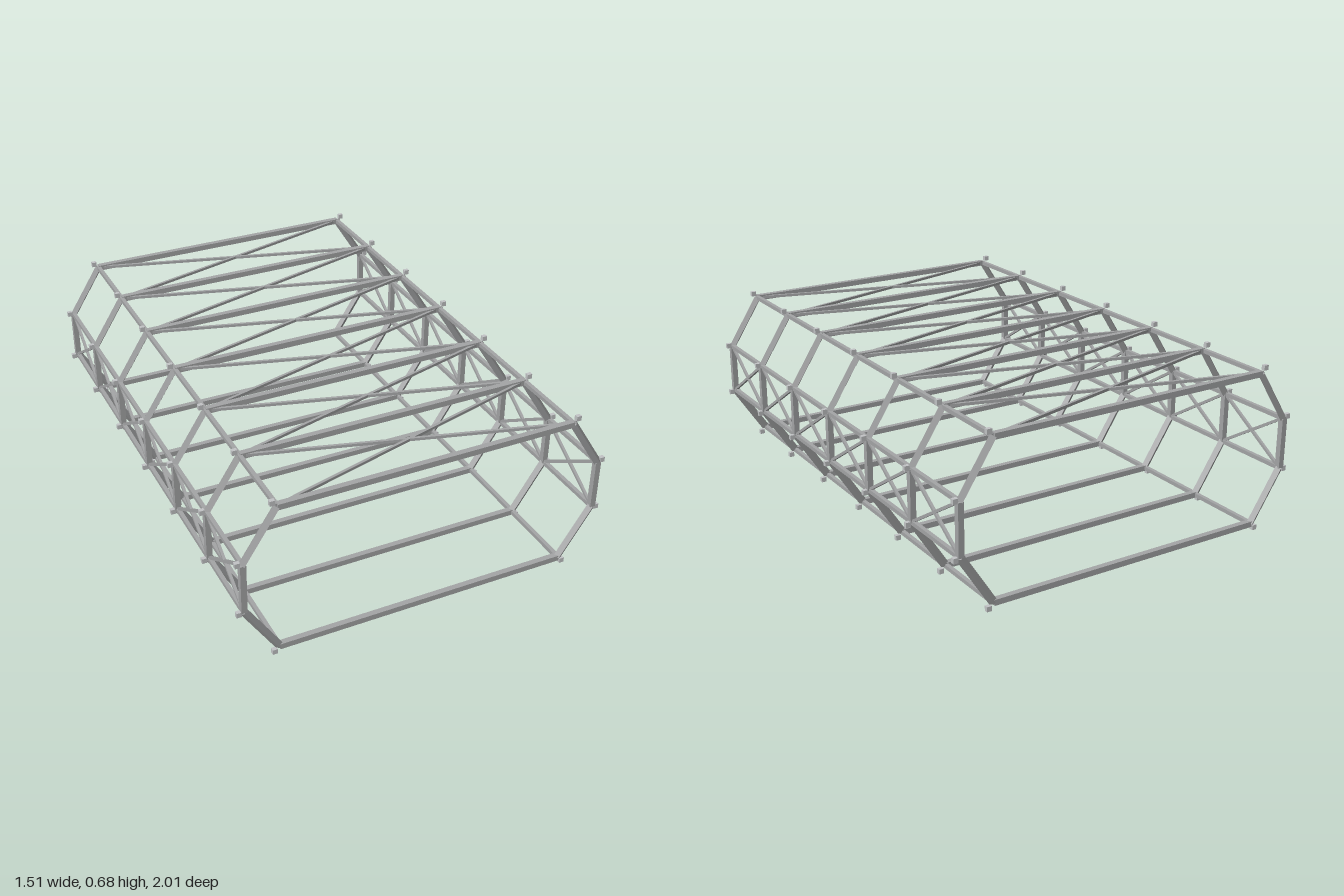
import * as THREE from 'three';

const steel = new THREE.MeshStandardMaterial({ color: 0xa4a5a6 });
steel.name = 'steel grey';
const cap = new THREE.MeshStandardMaterial({ color: 0xc2c4c6 });
cap.name = 'light grey';

const Z_AXIS = new THREE.Vector3(0, 0, 1);
const V = (x, y, z) => new THREE.Vector3(x, y, z);

// square bar running from a to b
function bar(parent, name, a, b, size) {
  const dir = b.clone().sub(a);
  const mesh = new THREE.Mesh(new THREE.BoxGeometry(size, size, dir.length()), steel);
  mesh.name = name;
  mesh.position.copy(a).add(b).multiplyScalar(0.5);
  mesh.quaternion.setFromUnitVectors(Z_AXIS, dir.normalize());
  parent.add(mesh);
}

export function createModel() {
  const model = new THREE.Group();
  model.name = 'trussFrame';

  const END = 0.988, BAYS = 6, MID = 0.34;
  const stations = Array.from({ length: BAYS + 1 }, (_, i) => -END + (2 * END * i) / BAYS);

  // corners of one eight-sided rib, going round from the upper right
  const corners = [
    [0.594, 0.65], [-0.594, 0.65], [-0.727, 0.443], [-0.727, 0.237],
    [-0.594, 0.03], [0.594, 0.03], [0.727, 0.237], [0.727, 0.443],
  ];
  const capGeometry = new THREE.BoxGeometry(0.02, 0.02, 0.016);

  // ribs with a small block just outside each corner
  stations.forEach((z) => {
    const rib = new THREE.Group();
    rib.name = 'rib';
    corners.forEach(([x, y], i) => {
      const [nx, ny] = corners[(i + 1) % corners.length];
      bar(rib, 'ribBeam', V(x, y, z), V(nx, ny, z), 0.023);
      const block = new THREE.Mesh(capGeometry, cap);
      block.name = 'cornerBlock';
      const rise = Math.abs(x) < 0.7 ? 0.02 : 0.006;
      block.position.set(x + Math.sign(x) * 0.019, y + Math.sign(y - MID) * rise, z);
      rib.add(block);
    });
    model.add(rib);
  });

  // long rails through every corner
  corners.forEach(([x, y]) => bar(model, 'longRail', V(x, y, -END), V(x, y, END), 0.016));

  // crossed braces over the top and along both side walls
  const bracedSides = [
    ['topBrace', corners[0], corners[1]],
    ['leftBrace', corners[6], corners[7]],
    ['rightBrace', corners[2], corners[3]],
  ];
  for (let i = 0; i < BAYS; i++) {
    const z0 = stations[i], z1 = stations[i + 1];
    bracedSides.forEach(([name, p, q]) => {
      bar(model, name, V(...p, z0), V(...q, z1), 0.011);
      bar(model, name, V(...q, z0), V(...p, z1), 0.011);
    });
  }
  return model;
}
